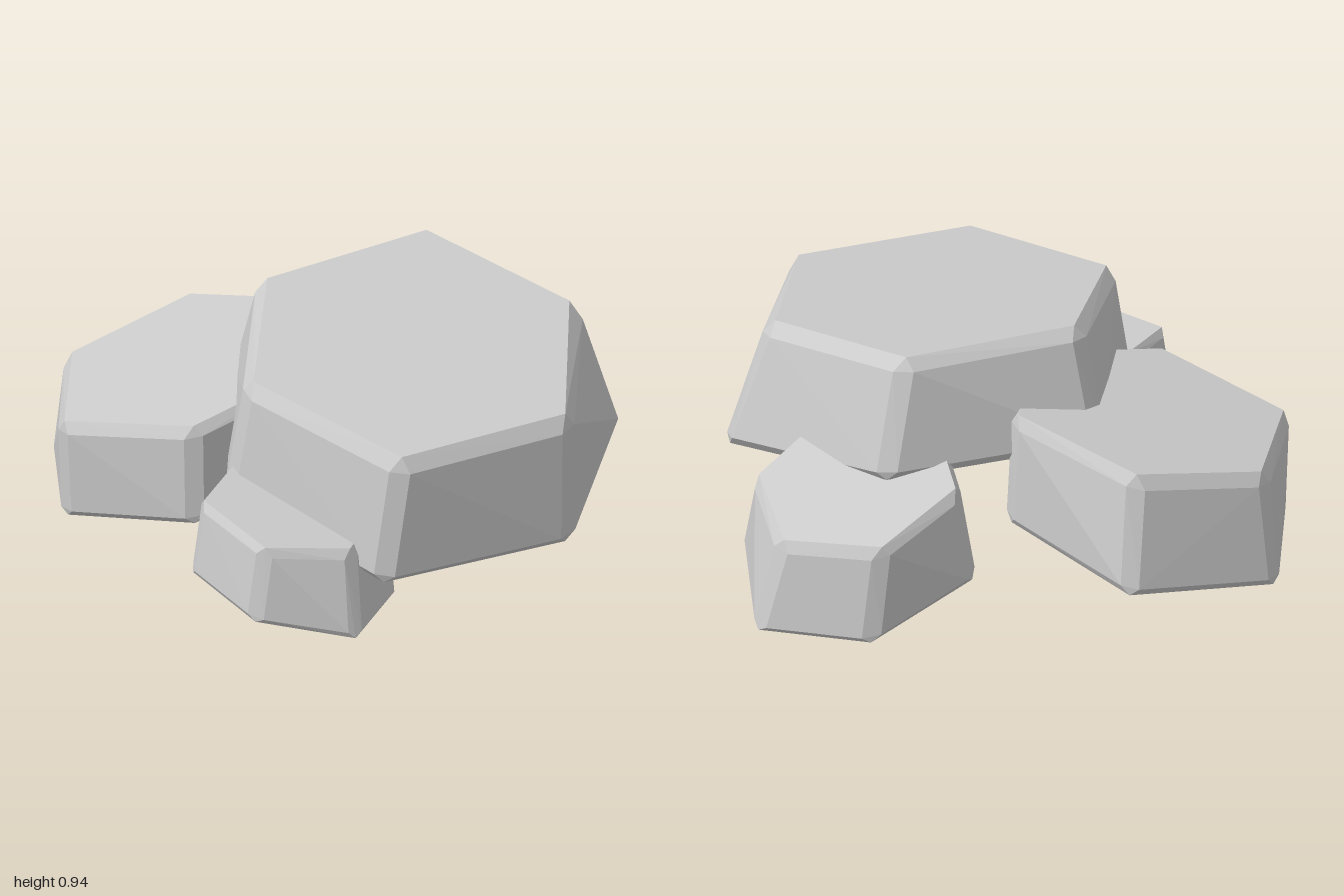
import * as THREE from 'three';
import { ConvexGeometry } from 'three/addons/geometries/ConvexGeometry.js';

const material = new THREE.MeshStandardMaterial({ color: 0xcccccc, flatShading: true });

// Put [x, z] corners on the tilted plane y = a + b*x + c*z
const onPlane = ([a, b, c], corners) =>
  corners.map(([x, z]) => new THREE.Vector3(x, a + b * x + c * z, z));

const centreOf = (points) =>
  points.reduce((sum, p) => sum.add(p), new THREE.Vector3()).divideScalar(points.length);

// Cut each corner of a ring into two, for bevelled upright edges
function cutCorners(ring, width) {
  const n = ring.length;
  return ring.flatMap((p, i) => [ring[(i + n - 1) % n], ring[(i + 1) % n]].map((q) =>
    p.clone().add(q.clone().sub(p).setLength(width))));
}

// A six-sided slab with tilted faces and bevelled edges
function rock({ name, topPlane, basePlane, top, base, bevel }) {
  const t = onPlane(topPlane, top);
  const b = onPlane(basePlane, base);
  const tc = centreOf(t);
  const bc = centreOf(b);
  const upper = t.map((p, i) => p.clone().lerp(b[i], 0.11).add(p.clone().sub(tc).multiplyScalar(0.05)));
  const lower = b.map((p, i) => p.clone().lerp(t[i], 0.07));
  const foot = b.map((p) => p.clone().lerp(bc, 0.05));
  const points = [...t, ...cutCorners(upper, bevel), ...cutCorners(lower, bevel), ...foot];
  const mesh = new THREE.Mesh(new ConvexGeometry(points), material);
  mesh.name = name;
  return mesh;
}

const rocks = [
  {
    name: 'mainBoulder', bevel: 0.045,
    topPlane: [0.887, -0.027, -0.143], basePlane: [0.422, -0.053, -0.183],
    top: [[-0.22, -0.26], [0.40, -0.48], [0.83, -0.01], [0.69, 0.65], [0.06, 0.84], [-0.385, 0.34]],
    base: [[-0.32, -0.40], [0.49, -0.61], [1.03, 0], [0.71, 0.69], [-0.02, 0.885], [-0.49, 0.33]],
  },
  {
    name: 'frontRightRock', bevel: 0.035,
    topPlane: [0.484, -0.13, -0.136], basePlane: [0.153, -0.17, -0.11],
    top: [[-0.60, 0.53], [-0.43, 0.81], [-0.12, 0.80], [0.03, 0.56], [-0.08, 0.29], [-0.45, 0.31]],
    base: [[-0.66, 0.53], [-0.48, 0.84], [-0.11, 0.91], [0.10, 0.58], [0, 0.25], [-0.43, 0.25]],
  },
  {
    name: 'backRightRock', bevel: 0.04,
    topPlane: [0.718, 0.226, 0.035], basePlane: [0.299, 0.193, 0.069],
    top: [[-0.86, -0.62], [-0.40, -0.79], [0, -0.49], [-0.12, 0], [-0.57, 0.17], [-0.98, -0.14]],
    base: [[-0.92, -0.70], [-0.36, -0.92], [0.05, -0.50], [-0.06, -0.02], [-0.57, 0.20], [-0.99, -0.14]],
  },
  {
    name: 'backLeftRock', bevel: 0.04,
    topPlane: [0.771, -0.213, 0.302], basePlane: [0.389, -0.168, 0.305],
    top: [[0.24, -0.68], [0.52, -0.88], [0.86, -0.74], [0.92, -0.40], [0.62, -0.15], [0.30, -0.25]],
    base: [[0.16, -0.70], [0.56, -0.92], [0.97, -0.75], [0.97, -0.28], [0.60, -0.05], [0.22, -0.20]],
  },
];

export function createModel() {
  const group = new THREE.Group();
  group.name = 'rockPile';
  rocks.forEach((spec) => group.add(rock(spec)));
  return group;
}
